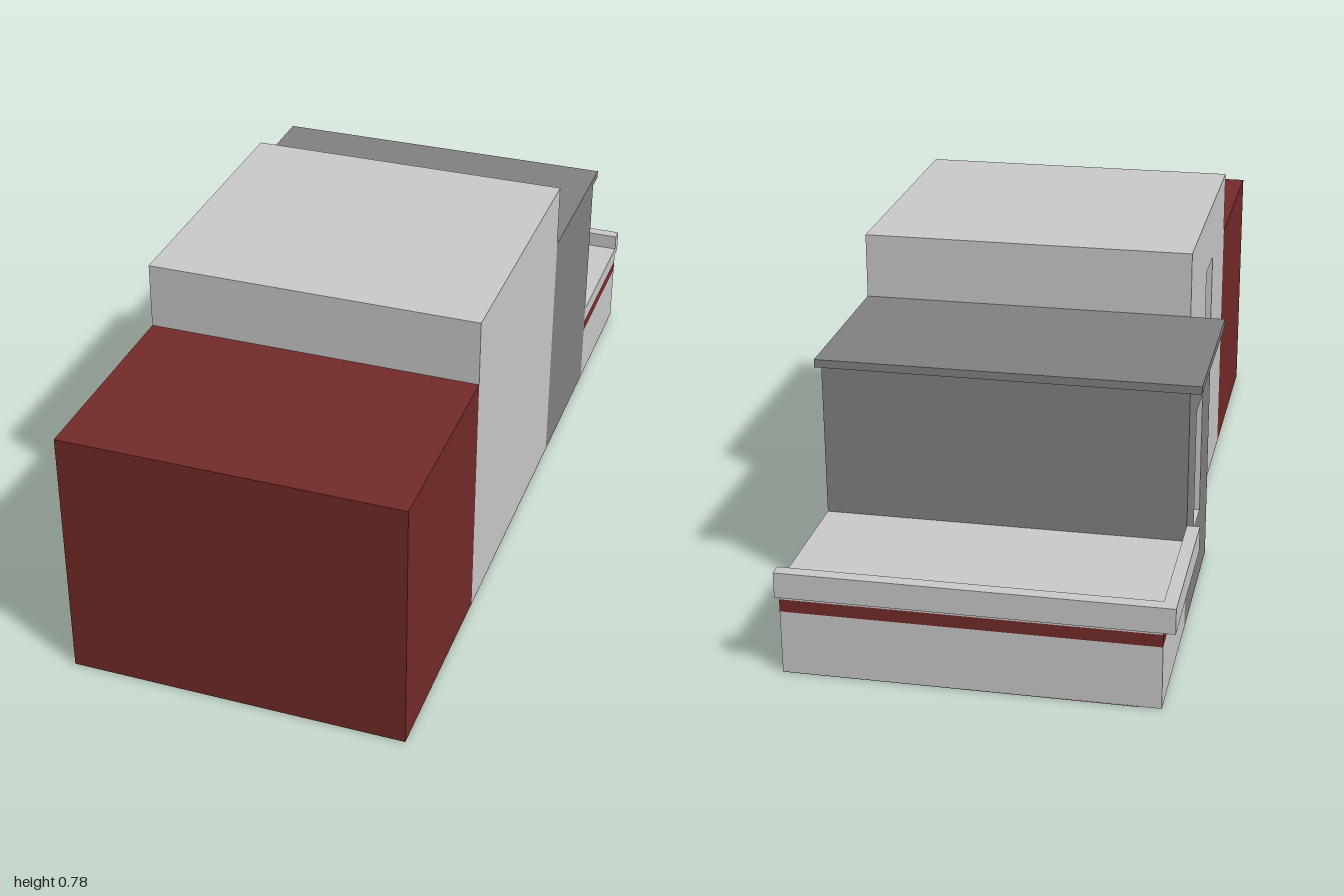
import * as THREE from 'three';

const mat = (color) => new THREE.MeshStandardMaterial({ color });

export function createModel() {
  const model = new THREE.Group();
  const grey = mat(0xcccccc), dark = mat(0x828282), red = mat(0x742b29), teal = mat(0x97c0c0);

  function add(name, geometry, material, parent = model) {
    const mesh = new THREE.Mesh(geometry, material);
    mesh.name = name;
    parent.add(mesh);
    return mesh;
  }

  // box given by its limits on each axis
  function box(name, [x0, x1], [y0, y1], [z0, z1], material, parent) {
    const g = new THREE.BoxGeometry(x1 - x0, y1 - y0, z1 - z0);
    g.translate((x0 + x1) / 2, (y0 + y1) / 2, (z0 + z1) / 2);
    return add(name, g, material, parent);
  }

  // box with some faces in red (2 top, 3 underside, 4 front)
  const trimmed = (base, ...faces) => [0, 1, 2, 3, 4, 5].map((i) => (faces.includes(i) ? red : base));

  // side wall with a window opening, drawn in z and y, reaching from inner x to outer x
  function windowWall(name, inner, outer, [z0, z1], height, opening, material) {
    const shape = new THREE.Shape([[z0, 0], [z1, 0], [z1, height], [z0, height]].map((p) => new THREE.Vector2(...p)));
    shape.holes.push(new THREE.Path(opening.map((p) => new THREE.Vector2(...p))));
    const g = new THREE.ExtrudeGeometry(shape, { depth: inner - outer, bevelEnabled: false });
    g.rotateY(-Math.PI / 2).translate(inner, 0, 0);
    add(name, g, material);
  }

  // column of panes with bars around every pane
  function paneColumn(parent, x, [z0, z1], [y0, y1], rows) {
    const b = 0.005;
    box('glass', [x - 0.003, x + 0.01], [y0, y1], [z0, z1], teal, parent);
    for (let i = 0; i <= rows; i++) {
      const y = y0 + ((y1 - y0) * i) / rows;
      box('windowRail', [x - 0.009, x], [Math.max(y0, y - b), Math.min(y1, y + b)], [z0, z1], grey, parent);
    }
    box('windowStile', [x - 0.009, x], [y0, y1], [z0, z0 + b], grey, parent);
    box('windowStile', [x - 0.009, x], [y0, y1], [z1 - b, z1], grey, parent);
  }

  function windowGroup(name) {
    const g = new THREE.Group();
    g.name = name;
    model.add(g);
    return g;
  }

  // front block
  box('frontBlock', [-0.36, 0.44], [0, 0.62], [0.49, 1], red);

  // tall middle block with a stepped window
  box('middleBlock', [-0.33, 0.44], [0, 0.78], [-0.21, 0.49], grey);
  windowWall('middleWindowWall', -0.33, -0.36, [-0.21, 0.49], 0.78,
    [[-0.04, 0.2], [0.23, 0.2], [0.23, 0.63], [0.1, 0.63], [0.1, 0.5], [-0.04, 0.5]], grey);
  const stepped = windowGroup('steppedWindow');
  paneColumn(stepped, -0.33, [-0.04, 0.1], [0.2, 0.5], 3);
  paneColumn(stepped, -0.33, [0.1, 0.23], [0.2, 0.63], 4);

  // dark rear block with a narrow window
  box('rearBlock', [-0.36, 0.44], [0, 0.605], [-0.6, -0.21], dark);
  windowWall('rearWindowWall', -0.36, -0.41, [-0.6, -0.21], 0.605,
    [[-0.47, 0.18], [-0.35, 0.18], [-0.35, 0.485], [-0.47, 0.485]], dark);
  box('rearBlockReturn', [-0.41, -0.36], [0, 0.605], [-0.21, -0.208], red);
  const narrow = windowGroup('narrowWindow');
  paneColumn(narrow, -0.36, [-0.47, -0.41], [0.18, 0.485], 3);
  paneColumn(narrow, -0.36, [-0.41, -0.35], [0.18, 0.485], 3);
  // pale lining of the opening
  box('windowSill', [-0.41, -0.36], [0.18, 0.186], [-0.47, -0.35], grey, narrow);
  box('windowJamb', [-0.41, -0.36], [0.18, 0.485], [-0.356, -0.35], grey, narrow);
  box('windowJamb', [-0.41, -0.36], [0.18, 0.485], [-0.47, -0.464], grey, narrow);

  // overhanging flat roof
  box('rearRoof', [-0.442, 0.44], [0.603, 0.622], [-0.65, -0.21], trimmed(dark, 4));

  // low terrace with a red band
  const tx = [-0.41, 0.44], tz = [-0.97, -0.6];
  box('terraceBase', tx, [0, 0.15], tz, grey);
  box('terraceBand', tx, [0.15, 0.18], tz, red);
  box('terraceDeck', tx, [0.18, 0.22], tz, grey);
  box('backParapet', [-0.44, 0.44], [0.2, 0.26], [-1, -0.97], trimmed(grey, 3));
  box('sideParapet', [-0.44, -0.41], [0.2, 0.26], [-0.97, -0.6], trimmed(grey, 3, 4));

  // floor skin under the whole building
  box('floor', [-0.36, 0.44], [-0.001, 0.002], [-0.97, 1], red);
  box('floorExtension', [-0.41, -0.36], [-0.001, 0.002], [-0.72, -0.21], red);

  return model;
}
